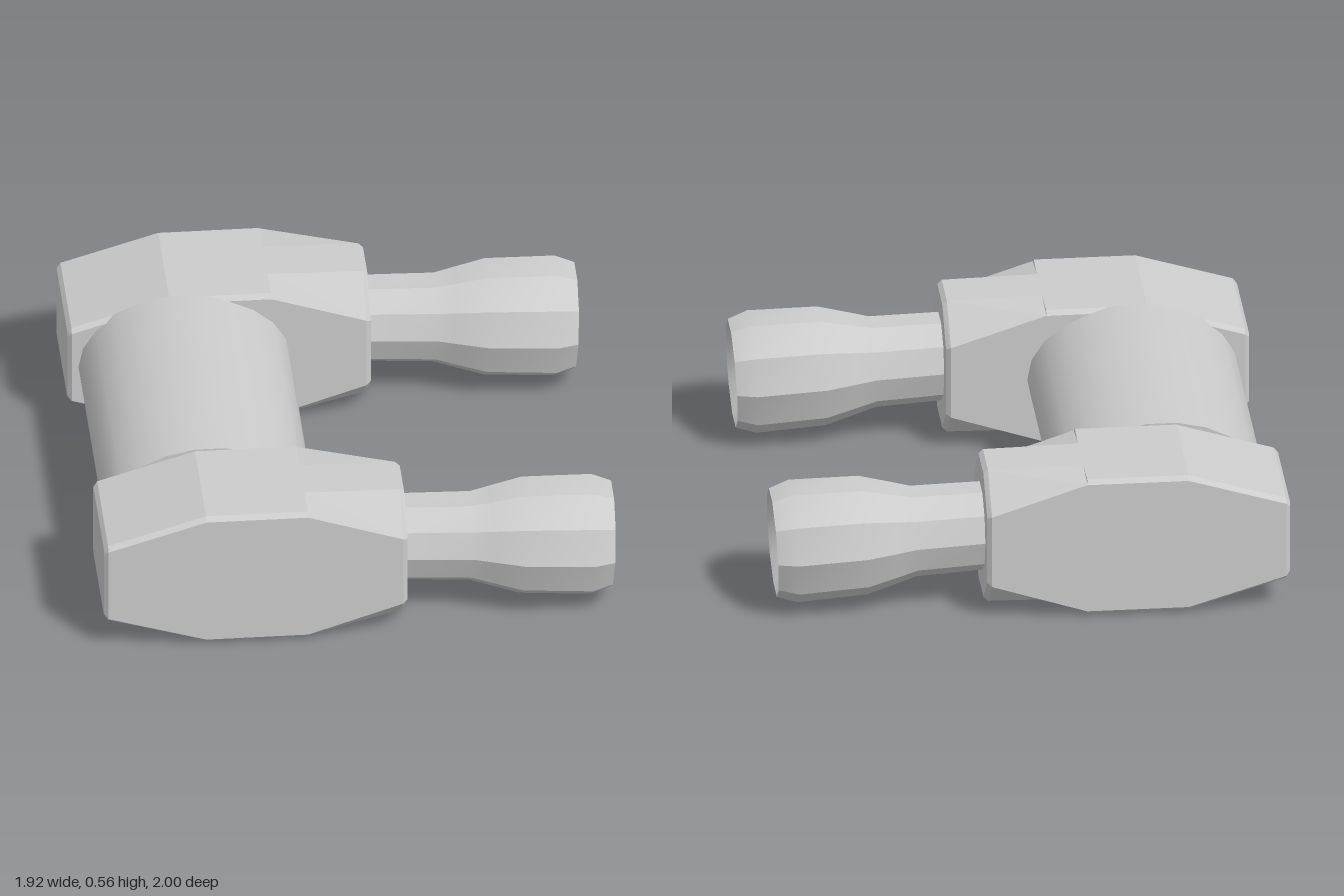
import * as THREE from 'three';
import { toCreasedNormals } from 'three/addons/utils/BufferGeometryUtils.js';

const material = new THREE.MeshStandardMaterial({ color: 0xcccccc });
const flatMaterial = new THREE.MeshStandardMaterial({ color: 0xcccccc, flatShading: true });

const MID_Y = 0.282;
const ARM_Z = 0.755;

// Rectangle with cut corners, wound counter-clockwise as seen from +x
function section([x, h, w, cutY, cutZ]) {
  const y = h - cutY, z = w - cutZ;
  return [[h, -z], [h, z], [y, w], [-y, w], [-h, z], [-h, -z], [-y, -w], [y, -w]]
    .map(([py, pz]) => [x, py, pz]);
}

// Skin a row of sections along x and close both ends
function loft(stations) {
  const rings = stations.map(section);
  const n = rings[0].length;
  const positions = rings.flat(2);
  const index = [];
  for (let i = 0; i < rings.length - 1; i++) {
    for (let j = 0; j < n; j++) {
      const k = (j + 1) % n;
      const a = i * n + j, b = i * n + k, c = b + n, d = a + n;
      index.push(a, b, c, a, c, d);
    }
  }
  const last = (rings.length - 1) * n;
  for (let j = 1; j < n - 1; j++) {
    index.push(0, j + 1, j);
    index.push(last, last + j, last + j + 1);
  }
  const g = new THREE.BufferGeometry();
  g.setAttribute('position', new THREE.Float32BufferAttribute(positions, 3));
  g.setIndex(index);
  g.computeVertexNormals();
  return g;
}

// End block: tapered at the back, becoming an octagon toward the grip
function blockGeometry() {
  return loft([
    // x, half height, half width, corner cut in y, corner cut in z
    [-0.96, 0.145, 0.23, 0.015, 0.015],
    [-0.945, 0.162, 0.245, 0.015, 0.02],
    [-0.58, 0.273, 0.245, 0.015, 0.02],
    [-0.202, 0.273, 0.245, 0.015, 0.02],
    [-0.2, 0.273, 0.245, 0.015, 0.15],
    [0.155, 0.267, 0.245, 0.125, 0.15],
    [0.172, 0.252, 0.23, 0.12, 0.14],
  ]);
}

// Ten-sided flared grip with a recessed end, lying along +x
function gripGeometry() {
  const profile = [
    [0.165, 0], [0.17, 0.27], [0.19, 0.34], [0.223, 0.46],
    [0.23, 0.72], [0.204, 0.795], [0.155, 0.74], [0, 0.74],
  ].map(([r, y]) => new THREE.Vector2(r, y));
  const g = new THREE.LatheGeometry(profile, 10);
  g.rotateZ(-Math.PI / 2);
  return toCreasedNormals(g, 0.5);
}

function addMesh(parent, name, geometry, mat) {
  const mesh = new THREE.Mesh(geometry, mat);
  mesh.name = name;
  parent.add(mesh);
  return mesh;
}

export function createModel() {
  const model = new THREE.Group();
  model.name = 'twinGripAssembly';

  // Oval cross tube joining the two blocks
  const tube = new THREE.CylinderGeometry(1, 1, 1.06, 22);
  tube.rotateY(Math.PI / 22);
  tube.rotateX(Math.PI / 2);
  tube.scale(0.395, 0.283, 1);
  const crossTube = addMesh(model, 'crossTube', toCreasedNormals(tube, 0.6), material);
  crossTube.position.set(-0.525, MID_Y, 0);

  // One block and grip at each end of the tube
  const block = blockGeometry();
  const grip = gripGeometry();
  for (const [side, s] of [['front', 1], ['back', -1]]) {
    const arm = new THREE.Group();
    arm.name = side + 'Arm';
    arm.position.set(0, MID_Y, s * ARM_Z);
    addMesh(arm, side + 'Block', block, flatMaterial);
    const handle = addMesh(arm, side + 'Grip', grip, material);
    handle.position.set(0.155, 0, 0);
    handle.rotation.z = -0.044;
    model.add(arm);
  }
  return model;
}
